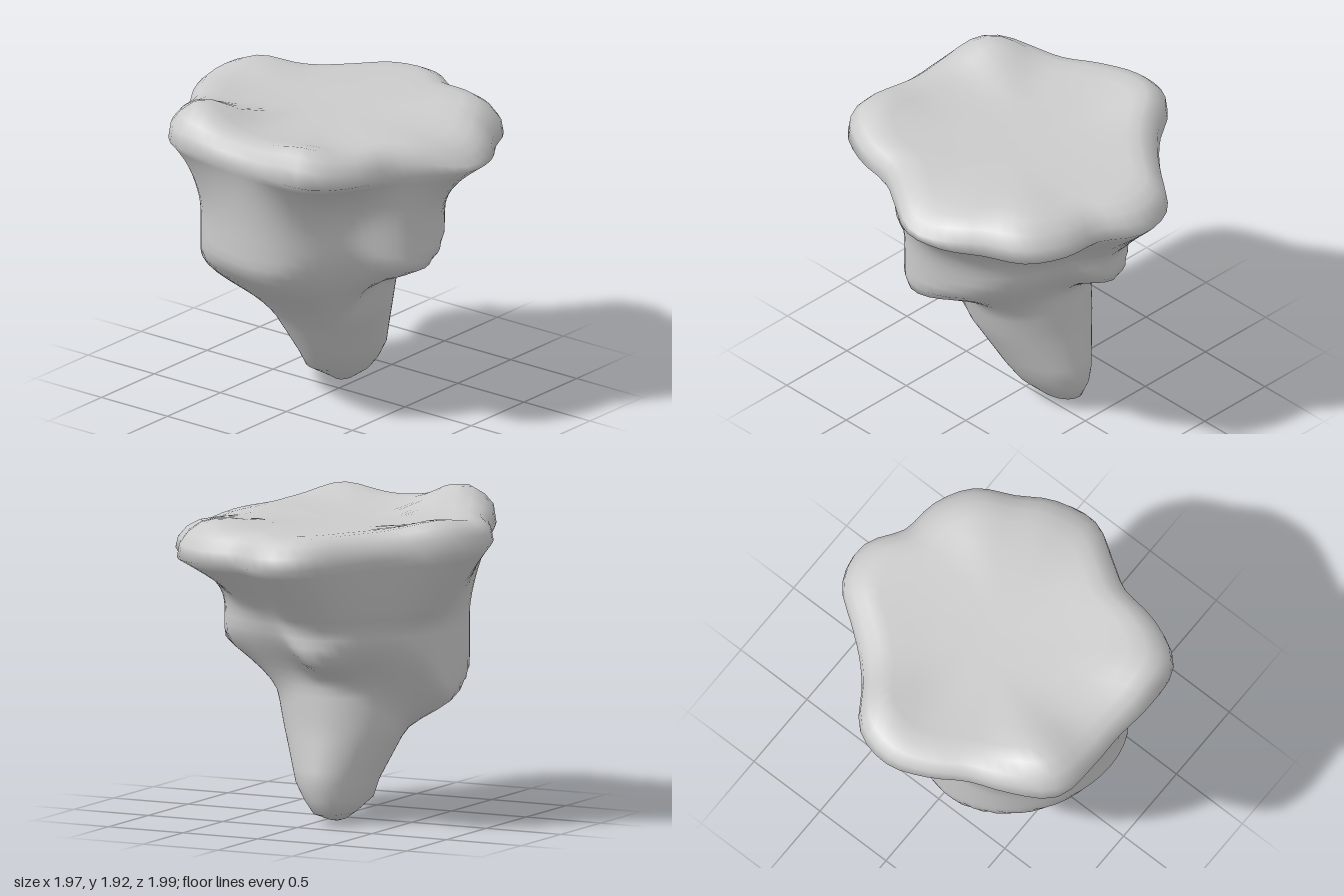
import * as THREE from 'three';

const SIDES = 72;
const { lerp, smoothstep } = THREE.MathUtils;

// Rim radius every 15 degrees, turning from +x towards +z
const RIM = [
  0.98, 0.88, 0.945, 0.98, 0.94, 0.98, 0.985, 0.89, 0.86, 0.985, 1.09, 1.025,
  0.97, 1.005, 1.073, 0.98, 0.91, 0.95, 1, 0.965, 0.825, 0.79, 0.843, 0.965,
];

// Body lobes every 30 degrees from 15: radius, height where the lobe starts, height where it is full
const LOBES = [
  [0.52, 0.8, 1.2], [0.57, 0.72, 1.2], [0.68, 0.75, 1.1], [0.79, 0.8, 1.0],
  [0.7, 0.5, 1.15], [0.88, 0.5, 1.04], [0.89, 0.5, 1.04], [0.82, 0.5, 0.92],
  [0.69, 0.52, 0.76], [0.64, 0.6, 1.1], [0.61, 0.75, 1.15], [0.63, 0.83, 1.02],
];

// Foot ovals: height, then extents in x and z
const FOOT = [
  [0.015, 0.08, 0.22, -0.13, -0.03],
  [0.06, 0.01, 0.36, -0.2, 0.03],
  [0.14, -0.13, 0.39, -0.27, 0.11],
  [0.24, -0.2, 0.415, -0.29, 0.17],
  [0.56, -0.4, 0.355, -0.42, 0.32],
  [0.9, -0.45, 0.32, -0.46, 0.42],
];

// Edge and top surface: height and scale of the rim
const TOP = [[1.71, 0.985], [1.765, 0.93], [1.795, 0.85], [1.795, 0.75], [1.785, 0.6], [1.78, 0.4], [1.775, 0.2]];

// Knolls and dips along the edge of the top: x, z, height
const KNOLLS = [[-0.7, -0.42, 0.11], [0.2, -0.78, 0.05], [0.5, 0.5, 0.035], [-0.85, 0.4, 0.055], [0.05, 0.9, -0.05]];

// Smooth periodic value from evenly spaced samples, u in samples
function around(values, u) {
  const n = values.length;
  const i = Math.floor(u);
  const t = u - i;
  const [a, b, c, d] = [-1, 0, 1, 2].map((k) => values[(i + k + n) % n]);
  return b + 0.5 * t * (c - a + t * (2 * a - 5 * b + 4 * c - d + t * (3 * (b - c) + d - a)));
}

const rimRadius = (a) => around(RIM, (a / (Math.PI * 2)) * 24);

// Point of the foot oval at height y
function footPoint(y, a) {
  let i = 0;
  while (i < FOOT.length - 2 && y > FOOT[i + 1][0]) i++;
  const t = Math.min((y - FOOT[i][0]) / (FOOT[i + 1][0] - FOOT[i][0]), 1);
  const [, x0, x1, z0, z1] = FOOT[i].map((v, k) => lerp(v, FOOT[i + 1][k], t));
  return [(x0 + x1) / 2 + ((x1 - x0) / 2) * Math.cos(a), (z0 + z1) / 2 + ((z1 - z0) / 2) * Math.sin(a)];
}

// Rock surface: foot swelling into the lobes, lobes flaring out to the rim
function rockPoint(y, a) {
  const u = (a / (Math.PI * 2)) * 12 - 0.5;
  const [lobe, start, full] = [0, 1, 2].map((k) => around(LOBES.map((row) => row[k]), u));
  const power = 1.7 + 0.9 * Math.cos(a - Math.PI * 0.75);
  const flare = Math.min(Math.max((y - 1.2) / 0.44, 0), 1) ** power;
  const r = lerp(lobe, rimRadius(a), flare);
  const swell = smoothstep(y, start, full);
  const [fx, fz] = footPoint(y, a);
  const x = lerp(fx, r * Math.cos(a), swell);
  const z = lerp(fz, r * Math.sin(a), swell);
  const tilt = smoothstep(y, 1.2, 1.6);
  return [x, y - tilt * (0.045 * x + 0.04 * z), z];
}

// Edge and top surface, tilted with the rim and raised by the knolls
function topPoint(y, scale, a) {
  const x = scale * rimRadius(a) * Math.cos(a);
  const z = scale * rimRadius(a) * Math.sin(a);
  let h = y - scale ** 3 * (0.045 * x + 0.04 * z);
  for (const [kx, kz, up] of KNOLLS) h += up * Math.exp(-((x - kx) ** 2 + (z - kz) ** 2) / 0.04);
  return [x, h, z];
}

function islandGeometry() {
  // Rings from the foot to the middle of the top
  const rings = FOOT.slice(0, 4).map(([y]) => (a) => rockPoint(y, a));
  for (let y = 0.32; y < 1.67; y += 0.055) rings.push((a) => rockPoint(y, a));
  for (const [y, scale] of TOP) rings.push((a) => topPoint(y, scale, a));

  const pos = [0.15, 0, -0.08];
  for (const ring of rings) {
    for (let s = 0; s < SIDES; s++) pos.push(...ring((s / SIDES) * Math.PI * 2));
  }
  pos.push(0, 1.775, 0);

  // Skin between the rings, closed at both ends
  const index = [];
  const at = (r, s) => 1 + r * SIDES + (s % SIDES);
  const last = pos.length / 3 - 1;
  for (let s = 0; s < SIDES; s++) {
    index.push(0, at(0, s), at(0, s + 1));
    for (let r = 0; r < rings.length - 1; r++) {
      const a = at(r, s), b = at(r, s + 1), c = at(r + 1, s + 1), d = at(r + 1, s);
      index.push(a, d, c, a, c, b);
    }
    index.push(last, at(rings.length - 1, s + 1), at(rings.length - 1, s));
  }
  const geo = new THREE.BufferGeometry();
  geo.setAttribute('position', new THREE.Float32BufferAttribute(pos, 3));
  geo.setIndex(index);
  geo.computeVertexNormals();
  return geo;
}

export function createModel() {
  const group = new THREE.Group();
  group.name = 'floatingIsland';
  const rock = new THREE.Mesh(islandGeometry(), new THREE.MeshStandardMaterial({ color: 0xcccccc }));
  rock.name = 'islandRock';
  group.add(rock);
  return group;
}
